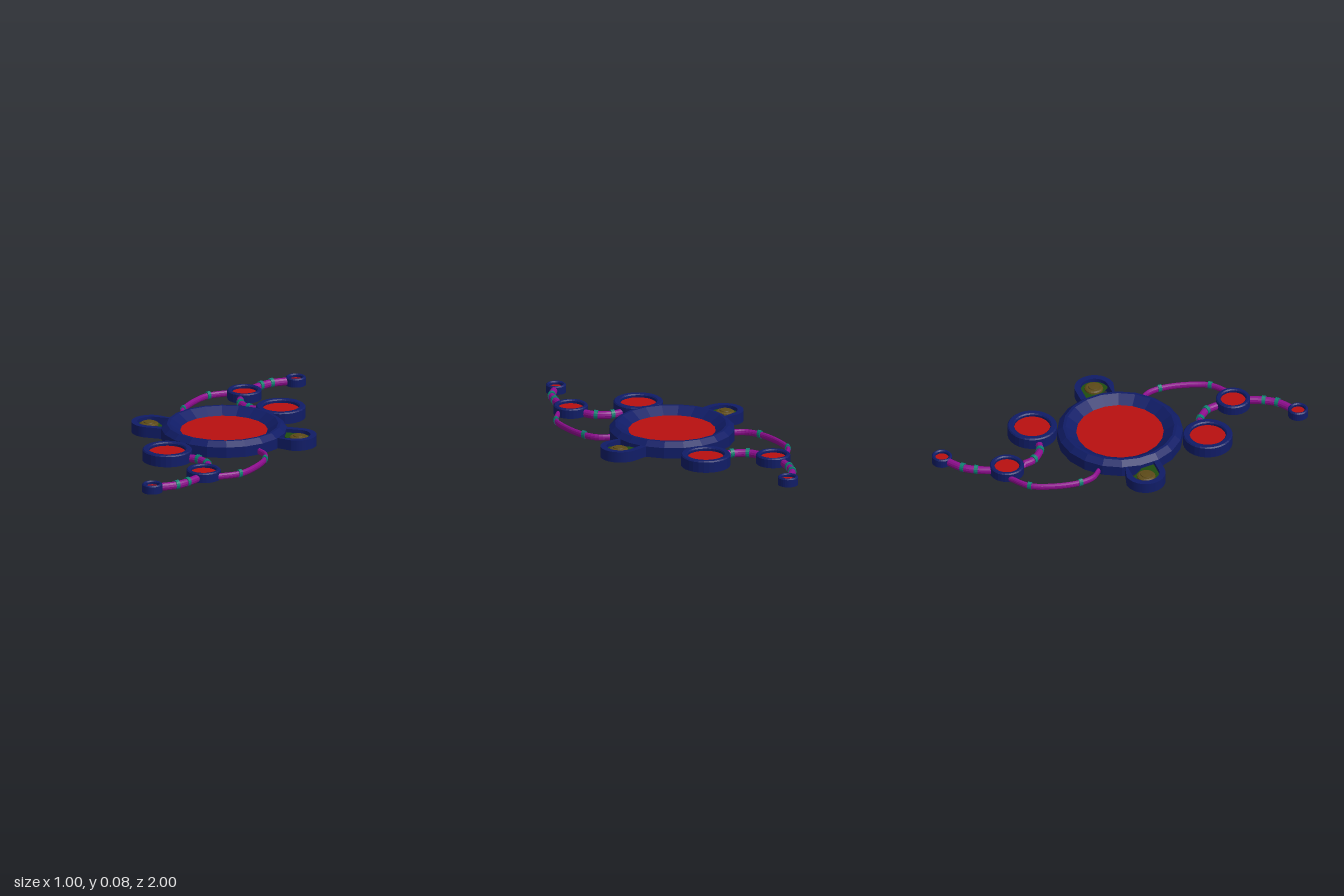
import * as THREE from 'three';

const mat = (color) => new THREE.MeshStandardMaterial({ color, side: THREE.DoubleSide, flatShading: true });
const navy = mat(0x101c66), red = mat(0xb81010), purple = mat(0x8c0d8c);
const teal = mat(0x0c8070), green = mat(0x1f4c10), brown = mat(0x5c4a18);

function add(parent, name, geometry, material, x = 0, y = 0, z = 0) {
  const mesh = new THREE.Mesh(geometry, material);
  mesh.name = name;
  mesh.position.set(x, y, z);
  parent.add(mesh);
  return mesh;
}

const lathe = (points, sides) =>
  new THREE.LatheGeometry(points.map(([x, y]) => new THREE.Vector2(x, y)), sides);

const disc = (r, sides) => new THREE.CircleGeometry(r, sides).rotateX(-Math.PI / 2).rotateY(-Math.PI / 2);

// Round dish: solid bevelled rim with a recessed red floor
function dish(parent, name, x, z, r, inner, h) {
  const group = new THREE.Group();
  group.name = name;
  group.position.set(x, 0, z);
  const b = 0.006;
  add(group, name + 'Rim', lathe([[inner, 0], [r, 0], [r, h - b], [r - b, h], [inner + b, h], [inner, h - b], [inner, 0]], 28), navy);
  add(group, name + 'Floor', disc(inner, 28), red, 0, h - 0.018, 0);
  parent.add(group);
}

// Oval pipe along a ground path, with bands clamped round it
function pipe(parent, name, path, r, h, bands) {
  const curve = new THREE.CatmullRomCurve3(path.map(([x, z]) => new THREE.Vector3(x, 0, z)));
  const stretch = h / (2 * r);
  add(parent, name, new THREE.TubeGeometry(curve, 28, r, 12).scale(1, stretch, 1), purple, 0, h / 2, 0);
  for (const t of bands) {
    const p = curve.getPoint(t), d = curve.getTangent(t);
    const geometry = new THREE.CylinderGeometry(r + 0.003, r + 0.003, 0.02, 14)
      .rotateZ(Math.PI / 2).scale(1, stretch, 1).rotateY(-Math.atan2(d.z, d.x));
    add(parent, name + 'Band', geometry, teal, p.x, h / 2 + 0.003, p.z);
  }
}

// Flat shape drawn in x and z, raised by its depth
const slab = (shape, depth) =>
  new THREE.ExtrudeGeometry(shape, { depth, bevelEnabled: false, curveSegments: 20 }).rotateX(-Math.PI / 2);

function ear(parent) {
  const cx = 0.395, root = 0.27, R = 0.105, r = 0.073;
  const wall = new THREE.Shape();
  wall.moveTo(root, -R);
  wall.absarc(cx, 0, R, -Math.PI / 2, Math.PI / 2, false);
  wall.lineTo(root, R);
  wall.lineTo(root, r);
  wall.absarc(cx, 0, r, Math.PI / 2, -Math.PI / 2, true);
  wall.lineTo(root, -r);
  add(parent, 'earWall', slab(wall, 0.057), navy);

  const floor = new THREE.Shape();
  floor.moveTo(root, -r);
  floor.absarc(cx, 0, r, -Math.PI / 2, Math.PI / 2, false);
  floor.lineTo(root, r);
  add(parent, 'earFloor', slab(floor, 0.005), green, 0, 0.032, 0);

  // Stepped knob
  add(parent, 'knob', lathe([[0.05, 0], [0.048, 0.009], [0.04, 0.014], [0.03, 0.014], [0.028, 0.019], [0, 0.021]], 20),
    brown, 0.407, 0.036, 0);
}

// Half of the model; the other half is this turned round the middle
function half() {
  const group = new THREE.Group();
  group.name = 'half';
  dish(group, 'largeDish', 0.19, -0.42, 0.13, 0.095, 0.062);
  dish(group, 'mediumDish', -0.075, -0.656, 0.09, 0.066, 0.051);
  dish(group, 'smallDish', 0.122, -0.947, 0.053, 0.036, 0.046);
  pipe(group, 'innerPipe', [[-0.07, -0.56], [-0.053, -0.503], [0.011, -0.442], [0.08, -0.424]], 0.019, 0.043, [0.36, 0.68]);
  pipe(group, 'outerPipe', [[-0.064, -0.735], [-0.032, -0.81], [0.011, -0.873], [0.085, -0.926]], 0.019, 0.043, [0.34, 0.66]);
  pipe(group, 'longPipe', [[-0.15, -0.673], [-0.254, -0.593], [-0.302, -0.47], [-0.317, -0.333], [-0.296, -0.254], [-0.25, -0.208]],
    0.012, 0.035, [0.2, 0.6]);
  ear(group);
  return group;
}

export function createModel() {
  const model = new THREE.Group();
  model.name = 'model';
  // Main dish: hollow sloped rim, open underneath
  add(model, 'mainRim', lathe([[0.33, 0], [0.33, 0.057], [0.3, 0.083], [0.285, 0.083], [0.228, 0.045]], 20), navy);
  add(model, 'mainFloor', disc(0.23, 20), red, 0, 0.046, 0);
  const back = half(), front = half();
  front.rotation.y = Math.PI;
  model.add(back, front);
  return model;
}
